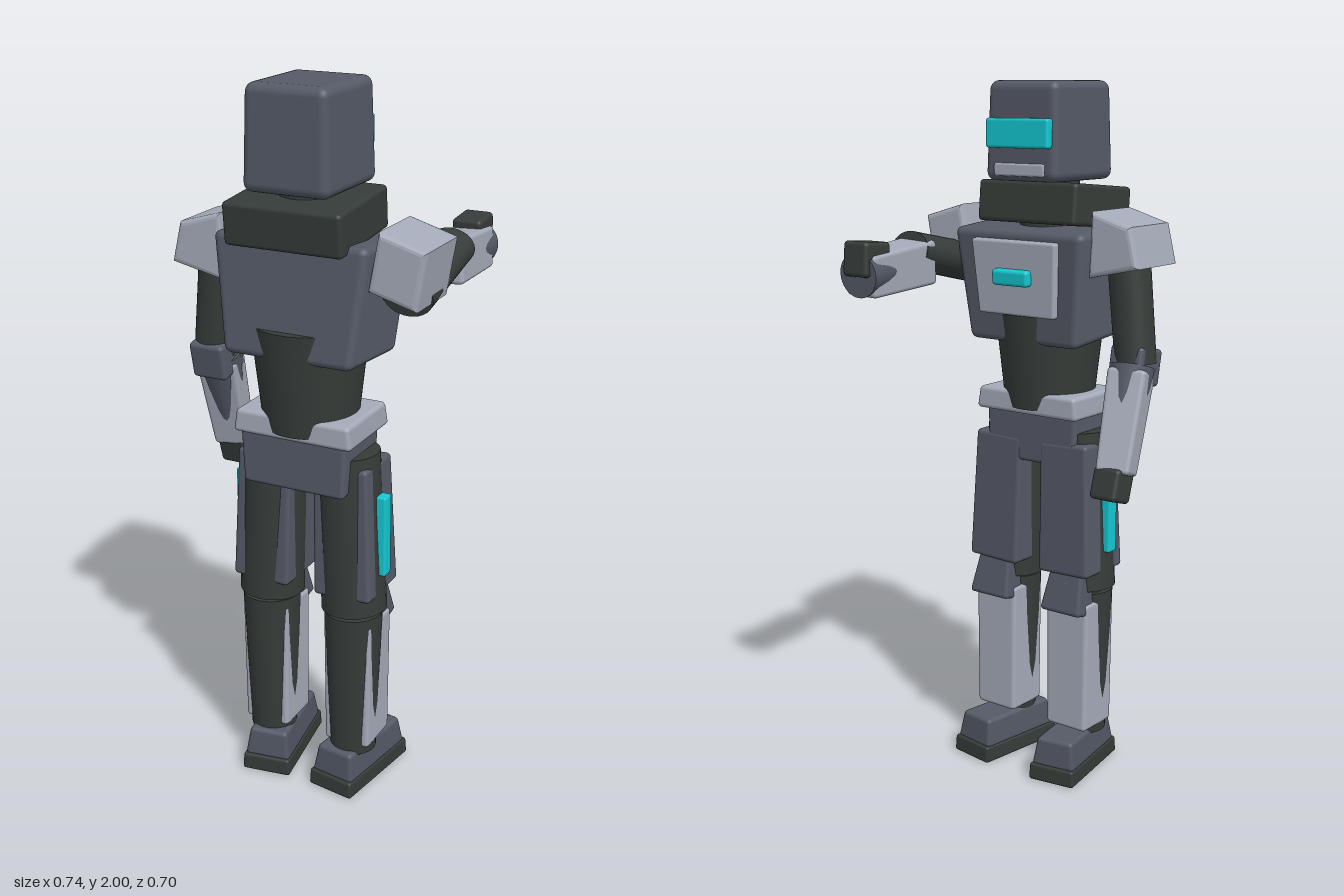
import * as THREE from 'three';
import { RoundedBoxGeometry } from 'three/addons/geometries/RoundedBoxGeometry.js';

const paint = (name, color) => {
  const m = new THREE.MeshStandardMaterial({ color });
  m.name = name;
  return m;
};

export function createModel() {
  const slate = paint('slate', 0x555a67);
  const silver = paint('silver', 0xa4aab8);
  const charcoal = paint('charcoal', 0x363c39);
  const teal = paint('teal', 0x14c8d2);

  const model = new THREE.Group();
  model.name = 'armouredFigure';

  const add = (name, geometry, material, pos = [0, 0, 0], parent = model) => {
    const mesh = new THREE.Mesh(geometry, material);
    mesh.name = name;
    mesh.position.set(...pos);
    parent.add(mesh);
    return mesh;
  };

  // Soft-edged box whose top is scaled by tx, tz relative to its base
  const block = (w, h, d, tx = 1, tz = 1, r = 0.012) => {
    const g = new RoundedBoxGeometry(w, h, d, 3, Math.min(r, h * 0.45, w * 0.45, d * 0.45));
    const p = g.attributes.position;
    for (let i = 0; i < p.count; i++) {
      const t = p.getY(i) / h + 0.5;
      p.setX(i, p.getX(i) * (1 + (tx - 1) * t));
      p.setZ(i, p.getZ(i) * (1 + (tz - 1) * t));
    }
    return g;
  };

  // Lay a mesh along the line a-b, with its local y pointing from a to b
  const along = (mesh, a, b) => {
    const A = new THREE.Vector3(...a), B = new THREE.Vector3(...b);
    mesh.position.copy(A).add(B).multiplyScalar(0.5);
    mesh.quaternion.setFromUnitVectors(new THREE.Vector3(0, 1, 0), B.sub(A).normalize());
    return mesh;
  };
  const length = (a, b) => new THREE.Vector3(...a).distanceTo(new THREE.Vector3(...b));
  const limb = (name, a, b, ra, rb, material, sx = 1) => {
    const g = new THREE.CylinderGeometry(rb, ra, length(a, b), 32).scale(sx, 1, 1);
    return along(add(name, g, material), a, b);
  };
  const sleeve = (name, a, b, w, d, taper, material) =>
    along(add(name, block(w, length(a, b), d, taper, taper), material), a, b);

  // Head, visor and chin guard (the face looks along -z)
  add('head', block(0.246, 0.27, 0.285, 0.94, 0.94, 0.025), slate, [0, 1.865, 0.183]);
  add('visor', block(0.212, 0.08, 0.03, 1, 1, 0.008), teal, [0, 1.86, 0.04]);
  add('chinGuard', block(0.17, 0.035, 0.02, 1, 1, 0.006), silver, [0, 1.762, 0.046]);
  add('neck', new THREE.CylinderGeometry(0.08, 0.09, 0.2, 24), charcoal, [0, 1.66, 0.19]);
  add('collar', block(0.335, 0.115, 0.275), charcoal, [0, 1.662, 0.207]).rotation.x = 0.09;

  // Chest, leaning towards the front, with its plate and lamp
  const chest = new THREE.Group();
  chest.name = 'chest';
  chest.position.set(0, 1.45, 0.178);
  chest.rotation.x = -0.08;
  model.add(chest);
  add('chestShell', block(0.37, 0.32, 0.28, 1.2, 1, 0.02), slate, [0, 0, 0], chest);
  add('chestPlate', block(0.26, 0.21, 0.03, 1.11, 1, 0.008), silver, [0, 0.03, -0.145], chest);
  add('chestLamp', block(0.122, 0.045, 0.03, 1, 1, 0.01), teal, [0, 0.035, -0.168], chest);

  // Waist and hips
  add('abdomen', new THREE.CylinderGeometry(0.16, 0.128, 0.29, 40), charcoal, [0, 1.235, 0.19]);
  add('belt', block(0.352, 0.065, 0.238, 0.95, 0.97), silver, [0, 1.107, 0.188]);
  add('pelvis', block(0.3, 0.16, 0.205, 1.05, 1), slate, [0, 1.01, 0.197]);

  // Shoulder pads: slanted outlines extruded front to back
  const pad = (name, outline) => {
    const bevel = 0.014;
    const g = new THREE.ExtrudeGeometry(new THREE.Shape(outline.map(p => new THREE.Vector2(...p))), {
      depth: 0.205 - 2 * bevel, bevelSize: bevel, bevelThickness: bevel, bevelOffset: -bevel, bevelSegments: 3,
    });
    add(name, g, silver, [0, 0, 0.075 + bevel]);
  };
  pad('rightShoulderPad', [[-0.365, 1.512], [-0.207, 1.478], [-0.214, 1.658], [-0.338, 1.622]]);
  pad('leftShoulderPad', [[0.207, 1.502], [0.34, 1.465], [0.367, 1.62], [0.235, 1.658]]);

  // Right arm, hanging and slightly bent
  const rElbow = [-0.3, 1.235, 0.165], rWrist = [-0.314, 0.95, 0.068];
  limb('rightUpperArm', [-0.268, 1.56, 0.18], [-0.303, 1.24, 0.175], 0.06, 0.058, charcoal);
  add('rightElbowGuard', block(0.105, 0.105, 0.11), slate, [-0.298, 1.235, 0.178]).rotation.x = 0.2;
  limb('rightForearmCore', rElbow, rWrist, 0.062, 0.035, slate);
  sleeve('rightForearmArmour', [-0.303, 1.225, 0.155], rWrist, 0.112, 0.1, 0.86, silver);
  add('rightHand', block(0.085, 0.09, 0.085), charcoal, [-0.312, 0.922, 0.052]).rotation.x = 0.3;

  // Left arm, stretched forward
  limb('leftUpperArm', [0.275, 1.477, 0.185], [0.272, 1.54, -0.105], 0.057, 0.053, charcoal, 1.25);
  limb('leftForearmCore', [0.266, 1.51, -0.09], [0.254, 1.492, -0.335], 0.038, 0.062, slate);
  sleeve('leftForearmArmour', [0.268, 1.508, -0.06], [0.256, 1.489, -0.325], 0.112, 0.125, 0.92, silver);
  add('leftHand', block(0.086, 0.095, 0.1), charcoal, [0.254, 1.533, -0.3]).rotation.x = 0.08;

  // Legs and boots, mirrored
  for (const [side, s] of [['left', 1], ['right', -1]]) {
    limb(side + 'Thigh', [s * 0.112, 1.03, 0.187], [s * 0.13, 0.565, 0.187], 0.086, 0.092, charcoal);
    const armour = add(side + 'ThighArmour', block(0.172, 0.385, 0.185, 0.93, 0.85), slate, [s * 0.121, 0.808, 0.172]);
    armour.rotation.z = s * 0.03;
    add(side + 'ThighLight', block(0.03, 0.235, 0.04, 1, 1, 0.006), teal, [s * 0.216, 0.798, 0.185]);
    add(side + 'KneeJoint', new THREE.CylinderGeometry(0.065, 0.065, 0.08, 24), slate, [s * 0.13, 0.56, 0.187]);
    add(side + 'KneeGuard', block(0.14, 0.125, 0.085, 0.78, 0.7), slate, [s * 0.13, 0.56, 0.112]).rotation.x = 0.18;
    add(side + 'Shin', new THREE.CylinderGeometry(0.082, 0.066, 0.44, 32), charcoal, [s * 0.13, 0.335, 0.192]);
    add(side + 'ShinArmour', block(0.138, 0.395, 0.14, 1.05, 1), silver, [s * 0.13, 0.335, 0.168]);

    const boot = new THREE.Group();
    boot.name = side + 'Boot';
    boot.position.set(s * 0.127, 0, 0.147);
    boot.rotation.y = -s * 0.15;
    model.add(boot);
    add('sole', block(0.145, 0.05, 0.3, 0.97, 0.98, 0.008), charcoal, [0, 0.025, 0], boot);
    add('upper', block(0.136, 0.085, 0.28, 0.82, 0.9), slate, [0, 0.085, 0], boot);
  }

  return model;
}
